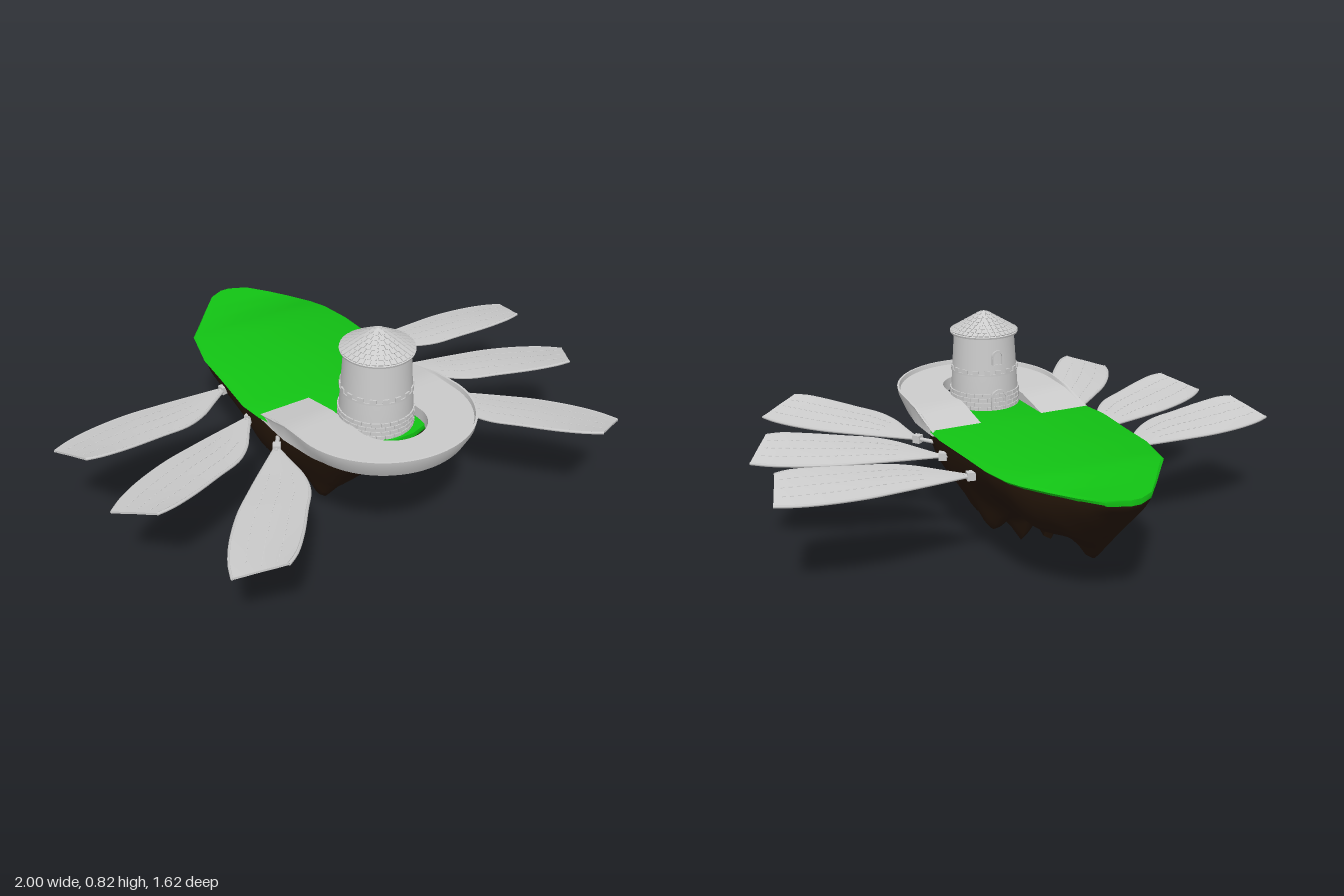
import * as THREE from 'three';
import { mergeGeometries, toCreasedNormals } from 'three/addons/utils/BufferGeometryUtils.js';

const { lerp, clamp } = THREE.MathUtils;
const mat = (color) => new THREE.MeshStandardMaterial({ color, side: THREE.DoubleSide });
const grey = mat(0xcccccc), green = mat(0x12c414), brown = mat(0x26170a);

function add(parent, name, geometry, material = grey) {
  const mesh = new THREE.Mesh(geometry, material);
  mesh.name = name;
  parent.add(mesh);
  return mesh;
}

// Interpolates column c of a table whose rows are sorted by their first entry
function look(rows, k, c = 1) {
  let i = 0;
  while (i < rows.length - 2 && rows[i + 1][0] < k) i++;
  const a = rows[i], b = rows[i + 1];
  return lerp(a[c], b[c], clamp((k - a[0]) / (b[0] - a[0]), 0, 1));
}

// Solid skin over closed loops of [x, y, z], with end caps, always facing out
function loft(loops, crease = 0.6) {
  const tris = [], n = loops[0].length;
  for (let i = 0; i < loops.length - 1; i++) for (let j = 0; j < n; j++) {
    const k = (j + 1) % n, a = loops[i], b = loops[i + 1];
    tris.push([a[j], a[k], b[k]], [a[j], b[k], b[j]]);
  }
  for (const [loop, flip] of [[loops[0], true], [loops[loops.length - 1], false]]) {
    const mid = [0, 1, 2].map((c) => loop.reduce((s, p) => s + p[c], 0) / n);
    loop.forEach((p, j) => {
      const q = loop[(j + 1) % n];
      tris.push(flip ? [mid, q, p] : [mid, p, q]);
    });
  }
  const v = (p) => new THREE.Vector3(...p);
  const volume = tris.reduce((s, [a, b, c]) => s + v(a).dot(v(b).cross(v(c))), 0);
  if (volume < 0) tris.forEach((t) => t.reverse());
  const g = new THREE.BufferGeometry();
  g.setAttribute('position', new THREE.Float32BufferAttribute(tris.flat(2), 3));
  return toCreasedNormals(g, crease);
}

// Island outline: z, right-hand x, left-hand x
const outline = [
  [-0.81, -0.01, 0.03], [-0.78, -0.07, 0.1], [-0.7, -0.14, 0.165], [-0.62, -0.205, 0.22],
  [-0.53, -0.28, 0.275], [-0.47, -0.295, 0.3], [-0.35, -0.325, 0.32], [-0.2, -0.335, 0.325],
  [0, -0.352, 0.335], [0.1, -0.34, 0.33], [0.2, -0.31, 0.31], [0.3, -0.28, 0.28],
  [0.4, -0.2, 0.2], [0.45, -0.14, 0.14], [0.475, -0.06, 0.06]];
// Underside of the rock along z, and hanging spikes: x, z, length, radius
const underside = [
  [-0.8, 0.45], [-0.7, 0.34], [-0.6, 0.25], [-0.5, 0.23], [-0.33, 0.235], [-0.22, 0.2], [-0.1, 0.13],
  [0, 0.1], [0.1, 0.12], [0.2, 0.13], [0.26, 0.17], [0.3, 0.22], [0.39, 0.29], [0.45, 0.39]];
const spikes = [
  [0.02, -0.04, 0.11, 0.045], [-0.13, 0.17, 0.1, 0.05], [0.12, 0.16, 0.08, 0.05], [-0.08, 0.07, 0.05, 0.04],
  [0.04, -0.28, 0.09, 0.03], [0, -0.53, 0.09, 0.055], [0.18, -0.1, 0.07, 0.05], [-0.17, -0.14, 0.06, 0.05]];

function rock() {
  const loops = [];
  for (let i = 0; i <= 56; i++) {
    const z = lerp(-0.795, 0.45, i / 56), depth = 0.462 - look(underside, z), loop = [];
    for (let j = 0; j <= 32; j++) {
      const t = -Math.cos((Math.PI * j) / 32);
      const x = 0.96 * lerp(look(outline, z, 1), look(outline, z, 2), (t + 1) / 2);
      const round = Math.pow(Math.max(0, 1 - t * t), 0.6);
      let d = depth * round * (1 + 0.08 * Math.sin(19 * x + 1) * Math.sin(17 * z));
      for (const [sx, sz, len, r] of spikes)
        d += round * len * Math.exp(-((x - sx) ** 2 + (z - sz) ** 2) / (r * r));
      loop.push([x, 0.462 - Math.min(d, 0.462), z]);
    }
    loops.push(loop);
  }
  return loft(loops, 1.2);
}

function grass() {
  return loft(outline.map(([z, l, r]) => {
    const top = 0.474 + 0.008 * clamp(-z, 0, 1);
    return [[l * 0.95, top - 0.021, z], [l, top - 0.008, z], [l * 0.96, top, z],
      [r * 0.96, top, z], [r, top - 0.008, z], [r * 0.95, top - 0.021, z]];
  }), 0.8);
}

// U-shaped deck: straight legs with ramps, a rounded front and a flared outer wall with a low rim
function deck() {
  const stations = [];
  const legs = [0.08, 0.13, 0.19, 0.25, 0.31];
  legs.forEach((z) => stations.push([-0.33, z, -0.128, z, -1, 0]));
  for (let i = 0; i <= 40; i++) {
    const a = Math.PI * (i / 40 - 0.5), s = Math.sin(a), c = Math.cos(a);
    stations.push([0.33 * s, 0.37 + 0.33 * c, 0.128 * s, 0.42 + 0.13 * c, s, c]);
  }
  [...legs].reverse().forEach((z) => stations.push([0.33, z, 0.128, z, 1, 0]));
  const heights = [[0.08, 0.472], [0.25, 0.508], [0.7, 0.53]];
  return loft(stations.map(([ox, oz, ix, iz, nx, nz]) => {
    const yo = look(heights, oz), yi = look(heights, iz);
    const rim = 0.016 * clamp((oz - 0.15) / 0.2, 0, 1);
    const low = 0.455 + 0.018 * clamp((oz - 0.2) / 0.5, 0, 1), flare = 0.03 * clamp((oz - 0.25) / 0.2, 0, 1);
    return [[ix, low, iz], [ix, yi, iz], [ox - 0.012 * nx, yo, oz - 0.012 * nz],
      [ox - 0.008 * nx, yo + rim, oz - 0.008 * nz], [ox, yo + rim, oz],
      [ox - 0.004 * nx, yo - 0.008, oz - 0.004 * nz], [ox - flare * nx, low, oz - flare * nz]];
  }));
}

// Ring of blocks merged into one geometry
function blocks(count, radius, y, [w, h, d], tilt = 0, turn = 0) {
  return mergeGeometries(Array.from({ length: count }, (_, i) =>
    new THREE.BoxGeometry(w, h, d).rotateX(tilt).translate(0, y, radius)
      .rotateY((2 * Math.PI * (i + turn)) / count)));
}

function lathe(points, segments = 48) {
  return toCreasedNormals(new THREE.LatheGeometry(points.map((p) => new THREE.Vector2(...p)), segments), 0.5);
}

function arch(w, h, depth) {
  const s = new THREE.Shape().moveTo(-w, 0).lineTo(w, 0).lineTo(w, h).absarc(0, h, w, 0, Math.PI).lineTo(-w, 0);
  return [s, { depth, bevelEnabled: false, curveSegments: 10 }];
}

function tower() {
  const g = new THREE.Group();
  g.name = 'tower';
  add(g, 'towerWall', lathe([[0, 0.455], [0.132, 0.455], [0.131, 0.54], [0.126, 0.62], [0.116, 0.77], [0, 0.77]]));
  for (let r = 0; r < 4; r++)
    add(g, 'baseBricks', blocks(26, 0.13, 0.482 + r * 0.017, [0.028, 0.014, 0.012], 0, (r % 2) / 2));
  add(g, 'bandRing', lathe([[0.124, 0.61], [0.13, 0.61], [0.13, 0.617], [0.124, 0.617]]));
  add(g, 'bandMerlons', blocks(18, 0.126, 0.624, [0.022, 0.016, 0.009]));
  // Conical roof covered with rows of small tiles
  add(g, 'roof', lathe([[0, 0.757], [0.13, 0.757], [0.132, 0.764], [0, 0.842]]));
  for (let r = 0; r < 7; r++) {
    const radius = 0.121 - r * 0.0165, count = Math.max(6, Math.round(radius * 300));
    add(g, 'roofTiles', blocks(count, radius, 0.773 + r * 0.0098, [0.017, 0.004, 0.02], 0.45, (r % 2) / 2));
  }
  // Arched door and window at the back, each a frame around a sunken panel
  for (const [name, w, h, y, z] of [['door', 0.026, 0.045, 0.478, 0.128], ['window', 0.017, 0.03, 0.655, 0.117]]) {
    const [shape, opts] = arch(w + 0.008, h, 0.014);
    shape.holes.push(arch(w, h, 1)[0]);
    add(g, name + 'Frame', new THREE.ExtrudeGeometry(shape, opts).rotateY(Math.PI).translate(0, y, -z + 0.004));
    add(g, name + 'Panel', new THREE.ExtrudeGeometry(...arch(w, h, 0.006)).rotateY(Math.PI).translate(0, y, -z + 0.004));
  }
  g.position.z = 0.33;
  return g;
}

// Wing blade: u along the length, with rear and front edges; the front edge lifts towards the tip
const blade = [
  [0, -0.008, 0.01], [0.08, -0.03, 0.055], [0.16, -0.052, 0.1], [0.25, -0.075, 0.126], [0.36, -0.1, 0.122],
  [0.5, -0.112, 0.115], [0.6, -0.106, 0.1], [0.667, -0.09, 0.08]];
const lift = (u, s) => 0.046 * s * s * clamp(u / 0.6, 0, 1) + 0.012 * Math.sin(Math.PI * s) * clamp(u / 0.3, 0, 1);

function wing() {
  const g = new THREE.Group();
  g.name = 'wing';
  const at = (u, s) => [u - 0.02 * s * (u > 0.65), lift(u, s), lerp(look(blade, u, 1), look(blade, u, 2), s)];
  const steps = [0, 0.2, 0.4, 0.6, 0.8, 1];
  add(g, 'wingBlade', loft(blade.map(([u]) => {
    const top = steps.map((s) => at(u, s));
    return [...top, ...top.map(([x, y, z]) => [x, y - 0.008, z]).reverse()];
  })));
  // Bars along both edges
  for (const s of [0, 1]) {
    const curve = new THREE.CatmullRomCurve3(blade.map(([u]) => new THREE.Vector3(...at(u, s)).setY(lift(u, s) - 0.004)));
    add(g, 'wingEdge', new THREE.TubeGeometry(curve, 24, 0.006, 6));
  }
  // Rows of stitches along the blade
  const stitches = [];
  for (const s of [0.25, 0.5, 0.75]) for (let u = 0.16; u < 0.64; u += 0.026) {
    const [x, y, z] = at(u, s);
    stitches.push(new THREE.BoxGeometry(0.013, 0.003, 0.003).translate(x, y, z));
  }
  add(g, 'wingStitches', mergeGeometries(stitches));
  add(g, 'wingArm', new THREE.CylinderGeometry(0.008, 0.008, 0.1, 8).rotateZ(Math.PI / 2).translate(-0.04, -0.004, 0));
  add(g, 'wingPivot', new THREE.BoxGeometry(0.03, 0.03, 0.028).translate(-0.015, -0.004, 0));
  return g;
}

function beam(parent, name, a, b, w, h) {
  const mesh = add(parent, name, new THREE.BoxGeometry(w, h, a.distanceTo(b)));
  mesh.position.lerpVectors(a, b, 0.5);
  mesh.lookAt(b);
}

export function createModel() {
  const model = new THREE.Group();
  model.name = 'flyingIsland';
  add(model, 'rock', rock(), brown);
  add(model, 'grass', grass(), green);
  add(model, 'deck', deck());
  model.add(tower());

  // Fan of struts holding up the front of the deck
  for (let i = -5; i <= 5; i++) {
    const a = i * 0.27, s = Math.sin(a), c = Math.cos(a);
    beam(model, 'deckStrut', new THREE.Vector3(0.15 * s, 0.375 + 0.03 * s * s, 0.3 + 0.13 * c),
      new THREE.Vector3(0.29 * s, 0.472, 0.37 + 0.28 * c), 0.02, 0.014);
  }

  // Three wings on each side: root x, root z, sweep
  for (const side of [1, -1]) {
    const wings = new THREE.Group();
    wings.name = side > 0 ? 'leftWings' : 'rightWings';
    for (const [x, z, sweep] of [[0.328, -0.22, 11], [0.338, 0.005, 28], [0.345, 0.225, 56]]) {
      const w = wing();
      w.position.set(x, 0.41, z);
      w.rotation.y = -THREE.MathUtils.degToRad(sweep);
      wings.add(w);
    }
    wings.scale.x = side;
    model.add(wings);
  }
  return model;
}
